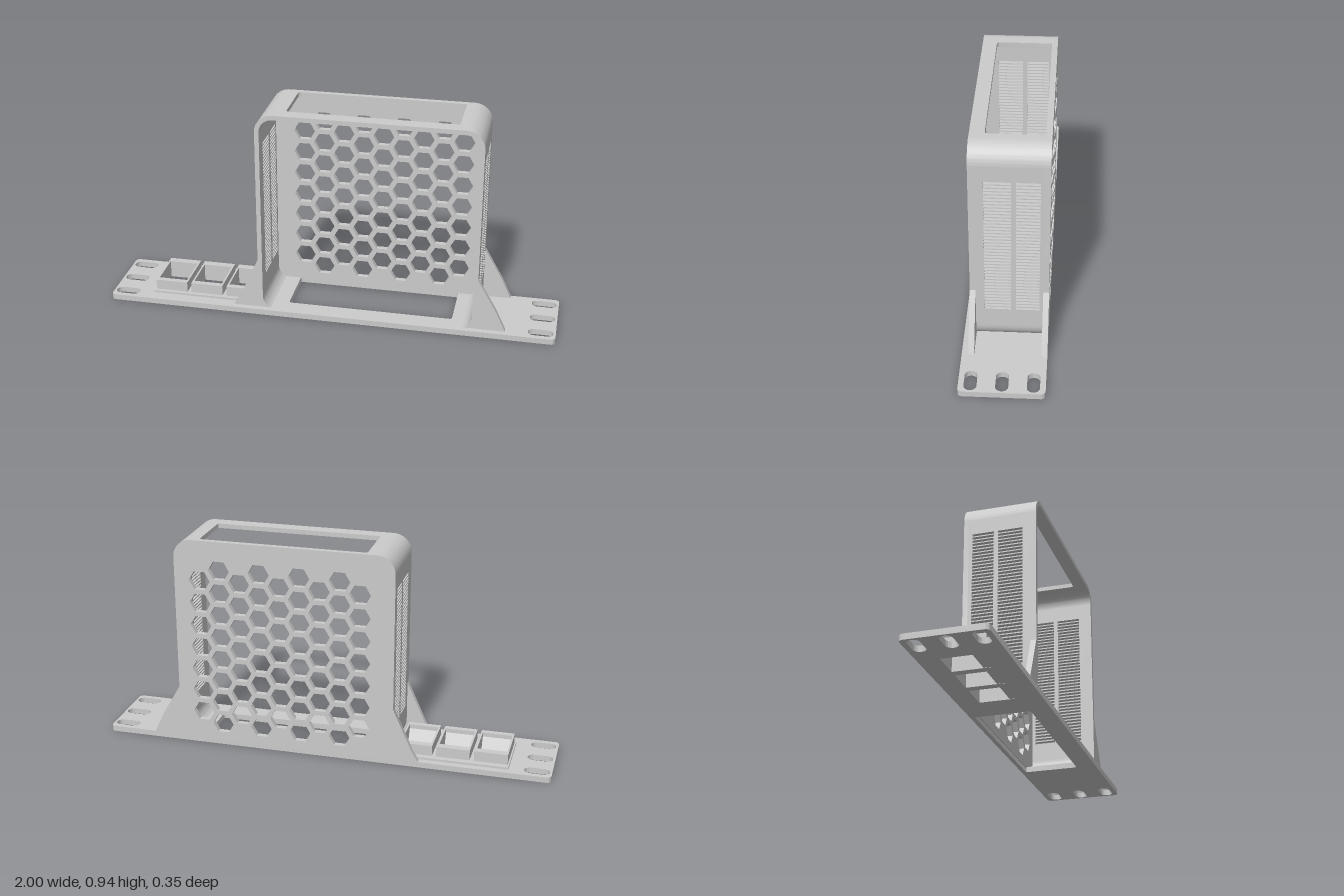
import * as THREE from 'three';
import { toCreasedNormals } from 'three/addons/utils/BufferGeometryUtils.js';

const grey = new THREE.MeshStandardMaterial({ color: 0xcccccc });

// Rounded rectangle outline between two corners
function roundRect(Type, x0, y0, x1, y1, r) {
  const s = new Type();
  s.moveTo(x0 + r, y0);
  s.lineTo(x1 - r, y0);
  s.absarc(x1 - r, y0 + r, r, -Math.PI / 2, 0, false);
  s.lineTo(x1, y1 - r);
  s.absarc(x1 - r, y1 - r, r, 0, Math.PI / 2, false);
  s.lineTo(x0 + r, y1);
  s.absarc(x0 + r, y1 - r, r, Math.PI / 2, Math.PI, false);
  s.lineTo(x0, y0 + r);
  s.absarc(x0 + r, y0 + r, r, Math.PI, Math.PI * 1.5, false);
  return s;
}

function polygon(Type, pts) {
  return new Type(pts.map(([x, y]) => new THREE.Vector2(x, y)));
}

const rect = (Type, x0, y0, x1, y1) => polygon(Type, [[x0, y0], [x1, y0], [x1, y1], [x0, y1]]);

function extrude(shape, depth) {
  return new THREE.ExtrudeGeometry(shape, { depth, bevelEnabled: false, curveSegments: 10 });
}

export function createModel() {
  const group = new THREE.Group();
  const add = (name, geo, x = 0, y = 0, z = 0) => {
    const mesh = new THREE.Mesh(toCreasedNormals(geo, 0.5), grey);
    mesh.name = name;
    mesh.position.set(x, y, z);
    group.add(mesh);
  };
  // Horizontal slab: shape drawn in (x, -z), thickness going up from y
  const addSlab = (name, shape, y, h) => add(name, extrude(shape, h).rotateX(-Math.PI / 2), 0, y, 0);

  // Main dimensions
  const L = -0.315, R = 0.657, TOP = 0.945, RAD = 0.08, WALL = 0.02;
  const BACK = -0.175, FRONT = 0.148, PLATE = 0.025, FIN = 0.024;
  const ports = [-0.735, -0.57, -0.405];
  const opening = () => roundRect(THREE.Path, -0.19, -0.087, 0.545, 0.155, 0.012);
  const portHole = (x) => rect(THREE.Path, x - 0.065, -0.075, x + 0.065, 0.085);

  // Mounting plate with end slots, central opening and port holes
  const plate = roundRect(THREE.Shape, -1, -0.175, 1, 0.175, 0.02);
  for (const x of [-0.935, 0.935])
    for (const z of [-0.126, 0, 0.126])
      plate.holes.push(roundRect(THREE.Path, x - 0.055, z - 0.026, x + 0.055, z + 0.026, 0.0255));
  plate.holes.push(opening(), ...ports.map(portHole));
  addSlab('mountingPlate', plate, 0, PLATE);

  // Port insert: low base, three raised frames, each with a sloped catch
  const base = rect(THREE.Shape, -0.815, -0.118, -0.318, 0.145);
  base.holes.push(...ports.map(portHole));
  addSlab('portBase', base, PLATE - 0.005, 0.014);
  for (const x of ports) {
    const frame = rect(THREE.Shape, x - 0.073, -0.1, x + 0.073, 0.118);
    frame.holes.push(portHole(x));
    addSlab('portFrame', frame, PLATE, 0.055);
    const ramp = polygon(THREE.Shape, [[0.043, 0.001], [0.077, 0.001], [0.077, 0.065]]);
    add('portRamp', extrude(ramp, 0.132).rotateY(-Math.PI / 2), x + 0.066);
  }

  // Back panel: tower outline widening into fins at the foot, with a hexagon grille
  const back = new THREE.Shape();
  back.moveTo(-0.43, 0.02);
  back.lineTo(0.785, 0.02);
  back.lineTo(0.74, 0.115);
  back.lineTo(R, 0.26);
  back.lineTo(R, TOP - RAD);
  back.absarc(R - RAD, TOP - RAD, RAD, 0, Math.PI / 2, false);
  back.lineTo(L + RAD, TOP);
  back.absarc(L + RAD, TOP - RAD, RAD, Math.PI / 2, Math.PI, false);
  back.lineTo(L, 0.26);
  back.lineTo(-0.40, 0.07);
  for (let c = 0; c < 9; c++) {
    const rows = c % 2 ? 8 : 7;
    for (let r = 0; r < rows; r++) {
      const cx = 0.189 + (c - 4) * 0.0886, cy = 0.459 + (r - (rows - 1) / 2) * 0.1022;
      const pts = [];
      for (let i = 0; i < 6; i++)
        pts.push([cx + 0.047 * Math.cos(i * Math.PI / 3), cy + 0.047 * Math.sin(i * Math.PI / 3)]);
      back.holes.push(polygon(THREE.Path, pts));
    }
  }
  add('backPanel', extrude(back, FIN), 0, 0, BACK);

  // Side walls with two columns of vent slots
  const z0 = BACK + FIN - 0.002, depth = FRONT - z0;
  for (const [name, x] of [['leftWall', R], ['rightWall', L + WALL]]) {
    const wall = rect(THREE.Shape, z0, RAD, FRONT, TOP - RAD);
    for (let i = 0; i < 41; i++) {
      const y = 0.166 + i * 0.01545;
      wall.holes.push(rect(THREE.Path, -0.136, y, -0.04, y + 0.01));
      wall.holes.push(rect(THREE.Path, -0.02, y, 0.088, y + 0.01));
    }
    add(name, extrude(wall, WALL).rotateY(-Math.PI / 2), x);
  }

  // Top wall with a large opening
  const roof = rect(THREE.Shape, L + RAD, -FRONT, R - RAD, -z0);
  roof.holes.push(roundRect(THREE.Path, -0.19, -0.087, 0.545, 0.1505, 0.012));
  addSlab('topWall', roof, TOP - WALL, WALL);

  // Rounded corners; the lower pair curls into the plate
  const corner = (name, cx, cy, a0, a1) => {
    const s = new THREE.Shape();
    s.absarc(cx, cy, RAD, a0, a1, false);
    s.absarc(cx, cy, RAD - WALL, a1, a0, true);
    add(name, extrude(s, depth), 0, 0, z0);
  };
  const H = Math.PI / 2;
  corner('topCorner', R - RAD, TOP - RAD, 0, H);
  corner('topCorner', L + RAD, TOP - RAD, H, 2 * H);
  corner('bottomCorner', L + RAD, RAD, 2 * H, 2.75 * H);
  corner('bottomCorner', R - RAD, RAD, 3.25 * H, 4 * H);

  // Front fins bracing the side walls
  const fin = (wallX, s, midX, midY, footX) => {
    const f = new THREE.Shape();
    f.moveTo(wallX, 0.26);
    f.lineTo(midX, midY);
    f.lineTo(footX, 0.02);
    f.lineTo(wallX - s * 0.044, 0.02);
    f.quadraticCurveTo(wallX - s * 0.012, 0.045, wallX - s * 0.01, 0.08);
    f.lineTo(wallX - s * 0.01, 0.26);
    add('frontFin', extrude(f, FIN), 0, 0, FRONT - FIN);
  };
  fin(R, 1, 0.74, 0.115, 0.785);
  fin(L, -1, -0.40, 0.07, -0.43);

  return group;
}
